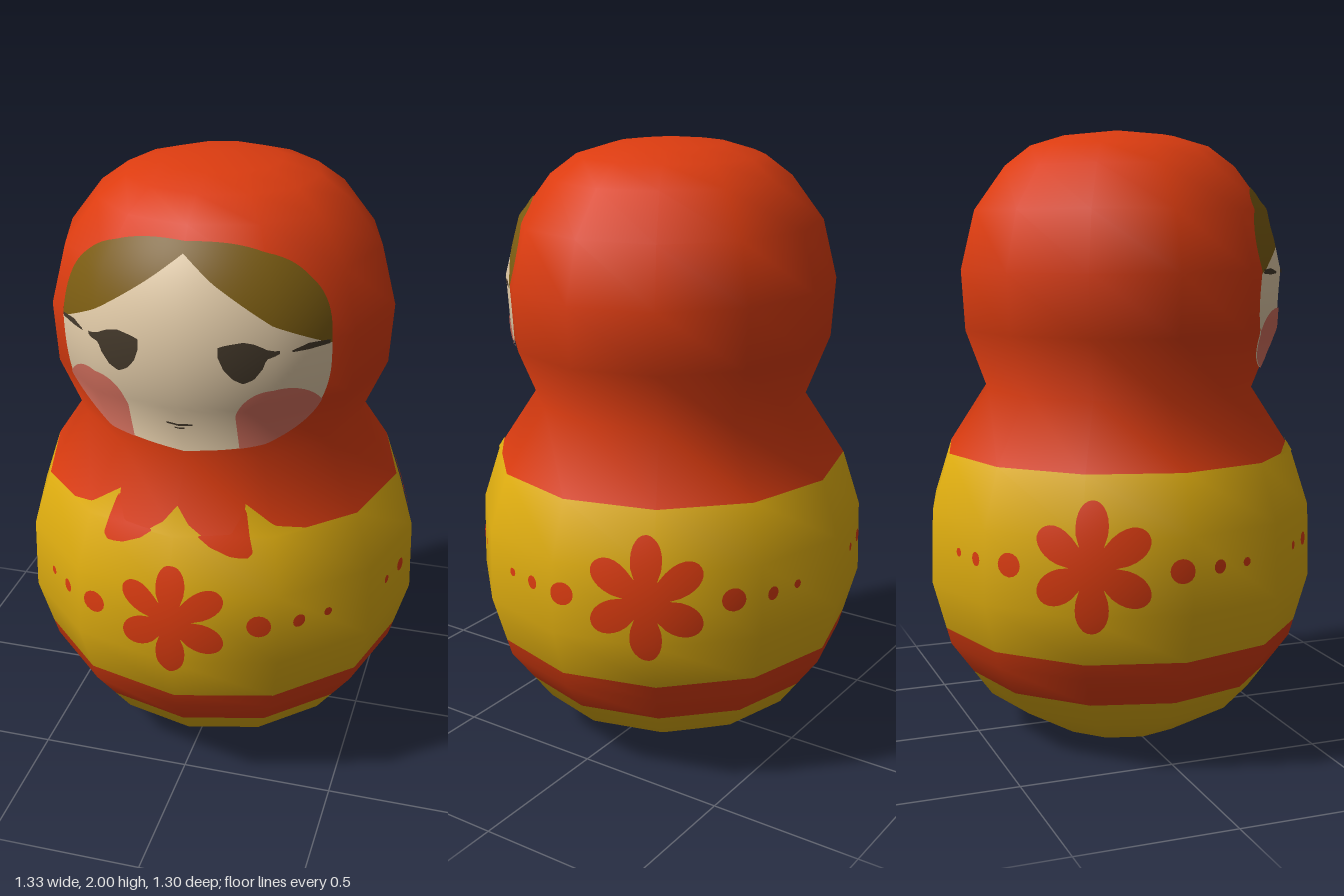
import * as THREE from 'three';

const material = (name, color) => {
  const m = new THREE.MeshStandardMaterial({ color });
  m.name = name;
  return m;
};

// Body outline: height, half width, half depth
const PROFILE = [
  [0, 0.245, 0.235], [0.125, 0.46, 0.45], [0.315, 0.6, 0.588], [0.53, 0.663, 0.648],
  [0.77, 0.657, 0.642], [0.955, 0.595, 0.583], [1.16, 0.46, 0.45], [1.355, 0.545, 0.523],
  [1.55, 0.557, 0.535], [1.74, 0.508, 0.488], [1.88, 0.4, 0.385], [1.945, 0.31, 0.3],
  [1.98, 0.19, 0.185], [2, 0, 0],
];
const SIDES = 12, STEP = (Math.PI * 2) / SIDES;

// Smooth outline normals (radial, vertical) at each profile point
const segmentNormal = (a, b) => new THREE.Vector2(b[0] - a[0], a[1] - b[1]).normalize();
const NORMALS = PROFILE.map((p, i) => {
  if (i === PROFILE.length - 1) return new THREE.Vector2(0, 1);
  const before = i ? segmentNormal(PROFILE[i - 1], p) : new THREE.Vector2(0, -1);
  return before.add(segmentNormal(p, PROFILE[i + 1])).normalize();
});

function ringAt(y) {
  let i = 0;
  while (i < PROFILE.length - 2 && y > PROFILE[i + 1][0]) i++;
  const a = PROFILE[i], b = PROFILE[i + 1], t = (y - a[0]) / (b[0] - a[0]);
  return {
    rx: a[1] + (b[1] - a[1]) * t,
    rz: a[2] + (b[2] - a[2]) * t,
    n: NORMALS[i].clone().lerp(NORMALS[i + 1], t),
  };
}

// Point and normal on the twelve-sided body; angle 0 is the front, +90 degrees is +x
function surface(angle, y, lift) {
  const { rx, rz, n } = ringAt(y);
  const k = Math.floor(angle / STEP + 1e-6), f = angle / STEP - k;
  const mix = (fn) => fn(k * STEP) * (1 - f) + fn((k + 1) * STEP) * f;
  const normal = new THREE.Vector3(Math.sin(angle) * n.x, n.y, Math.cos(angle) * n.x).normalize();
  const point = new THREE.Vector3(rx * mix(Math.sin), y, rz * mix(Math.cos));
  return [point.addScaledVector(normal, lift), normal];
}

// Body angle whose front projection falls at x
function angleAtX(x, y) {
  const s = Math.min(Math.abs(x) / ringAt(y).rx, 0.9999);
  const k = Math.floor(Math.asin(s) / STEP);
  const a = Math.sin(k * STEP), b = Math.sin((k + 1) * STEP);
  return Math.sign(x) * (k + (s - a) / (b - a)) * STEP;
}

// Grid of nu x nv cells wrapped on the body; fn(u, v) returns [angle, y]
function patch(name, mat, fn, nu, nv, lift) {
  const pos = [], nor = [], index = [];
  for (let j = 0; j <= nv; j++) {
    for (let i = 0; i <= nu; i++) {
      const [p, n] = surface(...fn(i / nu, j / nv), lift);
      pos.push(...p);
      nor.push(...n);
      if (i < nu && j < nv) {
        const a = j * (nu + 1) + i, d = a + nu + 1;
        index.push(a, a + 1, d, a + 1, d + 1, d);
      }
    }
  }
  const g = new THREE.BufferGeometry();
  g.setAttribute('position', new THREE.Float32BufferAttribute(pos, 3));
  g.setAttribute('normal', new THREE.Float32BufferAttribute(nor, 3));
  g.setIndex(index);
  const mesh = new THREE.Mesh(g, mat);
  mesh.name = name;
  return mesh;
}

// Full ring of the body between two heights
function band(name, mat, y0, y1) {
  const ys = [y0, ...PROFILE.map((p) => p[0]).filter((y) => y > y0 && y < y1), y1];
  const rows = ys.length - 1;
  return patch(name, mat, (u, v) => [u * Math.PI * 2, ys[Math.round(v * rows)]], SIDES, rows, 0);
}

// Painted area on the front between two curves lo(|x|) and hi(|x|)
function strip(name, mat, x0, x1, lo, hi, lift, nu = 32, nv = 12) {
  return patch(name, mat, (u, v) => {
    const x = (x0 + x1) / 2 - ((x1 - x0) / 2) * Math.cos(Math.PI * u);
    const a = lo(Math.abs(x)), b = Math.max(hi(Math.abs(x)), a), y = a + (b - a) * v;
    return [angleAtX(x, y), y];
  }, nu, nv, lift);
}

// Painted spot with radius r(phi) around an angle and height
function spot(name, mat, angle, y, r, nu, nv) {
  return patch(name, mat, (u, v) => {
    const phi = v * Math.PI * 2, d = u * r(phi);
    return [angle + (d * Math.cos(phi)) / 0.64, y + d * Math.sin(phi)];
  }, nu, nv, 0.005);
}

// Linear lookup in rows of [x, low, high]
const lookup = (table, col) => (x) => {
  let i = 0;
  while (i < table.length - 2 && x > table[i + 1][0]) i++;
  const a = table[i], b = table[i + 1];
  const t = THREE.MathUtils.clamp((x - a[0]) / (b[0] - a[0]), 0, 1);
  return a[col] + (b[col] - a[col]) * t;
};

export function createModel() {
  const red = material('scarf red', 0xdc3c10);
  const yellow = material('dress yellow', 0xe0ae10);
  const skin = material('skin', 0xe2cba8);
  const brown = material('hair brown', 0x7c5d12);
  const dark = material('eye dark', 0x43382a);
  const pink = material('cheek pink', 0xd4705e);
  const model = new THREE.Group();
  model.name = 'nestingDoll';

  // Body in coloured bands, with a flat base
  model.add(
    band('lowerBody', yellow, 0, 0.21),
    band('hemStripe', red, 0.21, 0.37),
    band('dress', yellow, 0.37, 0.955),
    band('headscarf', red, 0.955, 2),
  );
  const base = new THREE.Mesh(new THREE.CircleGeometry(1, SIDES).rotateX(Math.PI / 2).scale(0.245, 1, 0.235), yellow);
  base.name = 'base';
  model.add(base);

  // Face and parted hair inside a rounded outline
  const bulge = (x) => 0.325 * Math.pow(Math.max(0, 1 - Math.pow(x / 0.42, 2.6)), 1 / 2.6);
  const faceTop = (x) => 1.515 + bulge(x), faceBottom = (x) => 1.515 - bulge(x);
  const hairline = (x) => Math.min(faceTop(x), 1.81 - 0.82 * x + 0.42 * x * x);
  model.add(
    strip('face', skin, -0.42, 0.42, faceBottom, hairline, 0.004, 64, 32),
    strip('hair', brown, -0.42, 0.42, hairline, faceTop, 0.004, 64, 20),
    strip('mouth', dark, -0.04, 0.04, () => 1.296, () => 1.303, 0.007, 8, 1),
    strip('lowerLip', dark, -0.015, 0.015, () => 1.284, () => 1.289, 0.007, 4, 1),
  );

  // Mirrored face and collar details
  const pair = (name, mat, x0, x1, lo, hi, lift) => {
    model.add(strip(`${name}Left`, mat, x0, x1, lo, hi, lift), strip(`${name}Right`, mat, -x1, -x0, lo, hi, lift));
  };
  const tablePair = (name, mat, table, lift) =>
    pair(name, mat, table[0][0], table[table.length - 1][0], lookup(table, 1), lookup(table, 2), lift);

  pair('cheek', pink, 0.165, 0.405, faceBottom,
    (x) => 1.3 + 0.125 * Math.sqrt(Math.max(0, 1 - ((x - 0.285) / 0.125) ** 2)), 0.007);
  tablePair('eye', dark, [
    [0.12, 1.53, 1.56], [0.135, 1.49, 1.565], [0.16, 1.46, 1.57], [0.19, 1.445, 1.575],
    [0.22, 1.46, 1.57], [0.245, 1.495, 1.56], [0.255, 1.525, 1.555], [0.29, 1.54, 1.55],
  ], 0.007);
  tablePair('lash', dark, [[0.32, 1.537, 1.543], [0.36, 1.535, 1.555], [0.413, 1.54, 1.552]], 0.007);
  tablePair('collarPoint', yellow, [[0.2, 0.95, 1.04], [0.25, 0.95, 1.01], [0.3, 0.95, 0.98], [0.38, 0.95, 0.955]], 0.003);
  tablePair('collarNotch', yellow, [[0, 0.95, 1.035], [0.04, 0.95, 0.985], [0.085, 0.95, 0.955]], 0.003);
  tablePair('collarLeaf', red, [[0.075, 0.952, 0.957], [0.11, 0.923, 0.957], [0.17, 0.895, 0.96], [0.203, 0.89, 1.03],
    [0.225, 0.89, 0.955], [0.237, 0.905, 0.912]], 0.006);

  // Three flowers round the dress, each with shrinking dots on both sides
  const rad = THREE.MathUtils.degToRad;
  const dots = [[24.5, 0.038], [36.5, 0.022], [46, 0.014]];
  ['front', 'left', 'right'].forEach((place, i) => {
    const centre = [0, 117.5, -117.5][i], size = i ? 1.08 : 1;
    const petals = (phi) => size * (0.068 + 0.118 * Math.pow(Math.abs(Math.cos(3 * (phi - Math.PI / 2))), 0.75));
    model.add(spot(`${place}Flower`, red, rad(centre), 0.68, petals, 10, 96));
    for (const side of [-1, 1]) {
      for (const [offset, r] of dots) {
        model.add(spot(`${place}Dot`, red, rad(centre + side * offset), 0.668, () => r, 3, 16));
      }
    }
  });
  return model;
}
